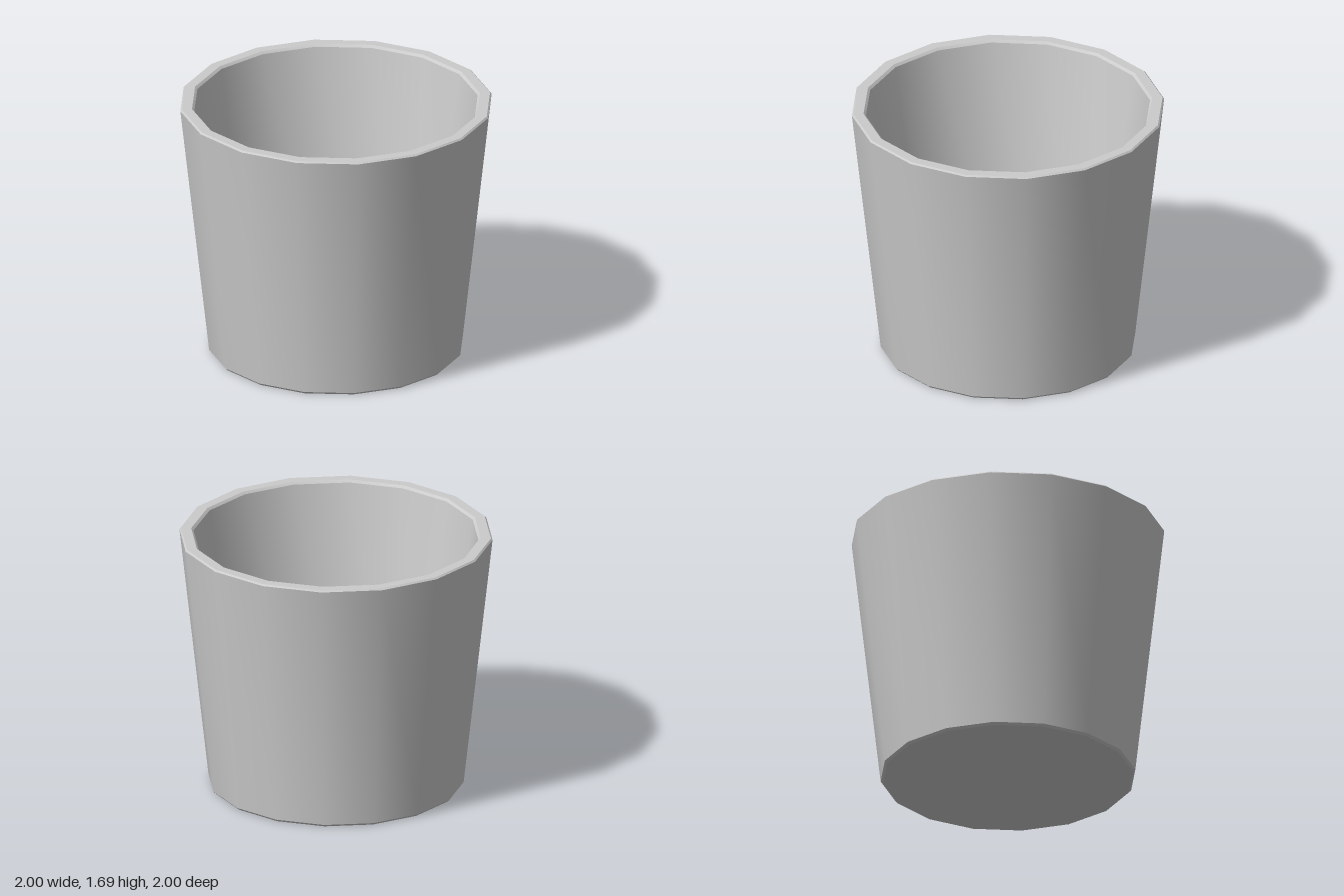
import * as THREE from 'three';
import { toCreasedNormals } from 'three/addons/utils/BufferGeometryUtils.js';

const SIDES = 16;
const FLOOR_Y = 0.1, FLOOR_R = 0.68, BASE_R = 0.8;

export function createModel() {
  const group = new THREE.Group();
  group.name = 'cup';
  const material = new THREE.MeshStandardMaterial({ color: 0xcccccc });

  const add = (name, geometry) => {
    const mesh = new THREE.Mesh(geometry, material);
    mesh.name = name;
    group.add(mesh);
    return mesh;
  };

  // Tapered wall: up the outside, over the bevelled rim, down the inside
  const profile = [
    [BASE_R, 0], [0.815, 0.015],
    [1, 1.68], [0.99, 1.69],
    [0.925, 1.69], [0.91, 1.675],
    [FLOOR_R, FLOOR_Y],
  ].map(([r, y]) => new THREE.Vector2(r, y));
  add('wall', toCreasedNormals(new THREE.LatheGeometry(profile, SIDES), 0.6));

  // Inner floor faces up, underside faces down
  const disc = (name, radius, y, tilt) => {
    const geometry = new THREE.CircleGeometry(radius, SIDES);
    geometry.rotateX(tilt);
    add(name, geometry).position.y = y;
  };
  disc('innerFloor', FLOOR_R, FLOOR_Y, -Math.PI / 2);
  disc('underside', BASE_R, 0, Math.PI / 2);

  return group;
}
